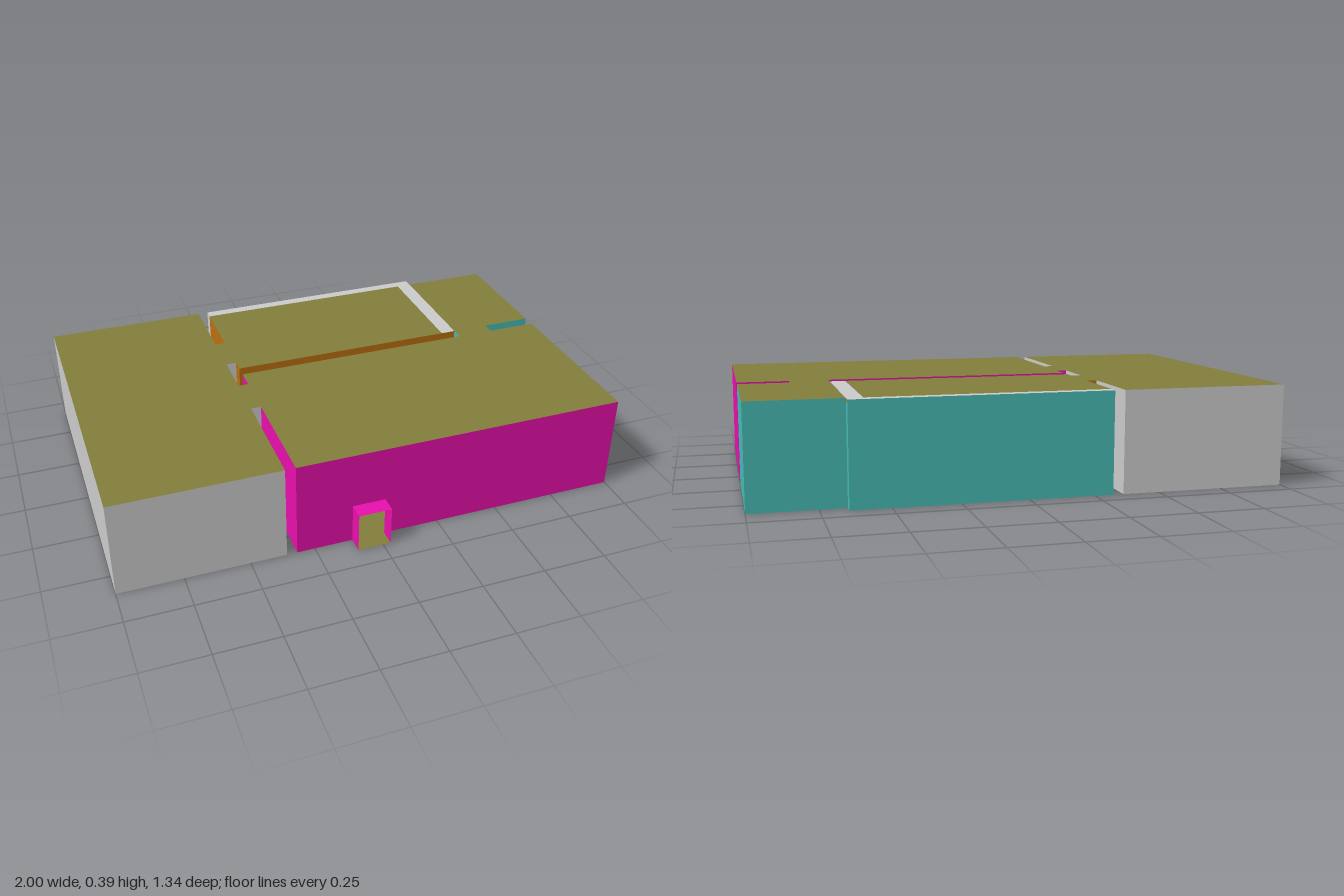
import * as THREE from 'three';

const H = 0.387, DOOR = 0.16;
const GREY = 0xcccccc, PINK = 0xe810ac, TEAL = 0x46bab4, OLIVE = 0x827e3c;
const ORANGE = 0xb9700f, GREEN = 0x24bf70, NAVY = 0x0c588c;

export function createModel() {
  const model = new THREE.Group();
  const materials = {};
  const mat = (color) => (materials[color] ??= new THREE.MeshStandardMaterial({ color, side: THREE.DoubleSide }));

  function add(parent, name, geometry, color) {
    const mesh = new THREE.Mesh(geometry, mat(color));
    mesh.name = name;
    parent.add(mesh);
    return mesh;
  }

  // Thin upright panel between two plan points [x, z]
  function wall(parent, name, a, b, color, y0 = 0, y1 = H) {
    const dx = b[0] - a[0], dz = b[1] - a[1];
    const mesh = add(parent, name, new THREE.PlaneGeometry(Math.hypot(dx, dz), y1 - y0), color);
    mesh.position.set((a[0] + b[0]) / 2, (y0 + y1) / 2, (a[1] + b[1]) / 2);
    mesh.rotation.y = Math.atan2(-dz, dx);
  }

  // Flat panel from a plan outline of [x, z] points
  function slab(parent, name, points, y, color) {
    const shape = new THREE.Shape(points.map((p) => new THREE.Vector2(p[0], p[1])));
    const geometry = new THREE.ShapeGeometry(shape).rotateX(Math.PI / 2);
    add(parent, name, geometry, color).position.y = y;
  }
  const rect = (x0, x1, z0, z1) => [[x0, z0], [x1, z0], [x1, z1], [x0, z1]];

  // Outline of the connected rooms; each entry gives the colour of the wall to the next corner
  const outline = [
    [-1, -0.67, GREY], [-0.36, -0.67, GREY], [-0.36, -0.37, ORANGE], [-0.32, -0.37, ORANGE],
    [-0.32, -0.63, ORANGE], [0.59, -0.63, ORANGE], [0.59, -0.14, ORANGE], [-0.32, -0.14, ORANGE],
    [-0.32, -0.19, GREY], [-0.36, -0.19, GREY], [-0.36, -0.01, PINK], [-0.32, -0.01, PINK],
    [-0.32, -0.09, PINK], [0.65, -0.09, TEAL], [0.65, -0.63, TEAL], [1, -0.63, TEAL],
    [1, -0.14, TEAL], [0.8, -0.14, GREY], [0.8, -0.09, PINK], [1, -0.09, PINK],
    [1, 0.6, null], [-0.32, 0.6, PINK], [-0.32, 0.17, GREY], [-0.36, 0.17, GREY],
    [-0.36, 0.6, GREY], [-1, 0.6, GREY],
  ];
  const walls = new THREE.Group();
  walls.name = 'roomWalls';
  outline.forEach((p, i) => {
    if (p[2] !== null) wall(walls, 'roomWall', p, outline[(i + 1) % outline.length], p[2]);
  });

  // Front wall around the doorway
  const DX0 = -0.1, DX1 = 0.03, DZ = 0.665;
  wall(walls, 'frontWall', [DX1, 0.6], [1, 0.6], PINK);
  wall(walls, 'frontWall', [-0.32, 0.6], [DX0, 0.6], PINK);
  wall(walls, 'frontWallAboveDoor', [DX0, 0.6], [DX1, 0.6], PINK, DOOR, H);
  model.add(walls);

  // Roof and floors
  slab(model, 'roof', outline, H, OLIVE);
  const floors = new THREE.Group();
  floors.name = 'floors';
  slab(floors, 'sideRoomFloor', rect(-1, -0.36, -0.67, 0.6), 0, GREEN);
  slab(floors, 'backPassageFloor', rect(-0.36, -0.32, -0.37, -0.19), 0, GREEN);
  slab(floors, 'frontPassageFloor', rect(-0.36, -0.32, -0.01, 0.17), 0, GREEN);
  slab(floors, 'backRoomFloor', rect(-0.32, 0.59, -0.63, -0.14), 0, NAVY);
  slab(floors, 'cornerRoomFloor', rect(0.65, 1, -0.63, -0.14), 0, NAVY);
  slab(floors, 'cornerPassageFloor', rect(0.65, 0.8, -0.14, -0.09), 0, OLIVE);
  slab(floors, 'frontRoomFloor', rect(-0.32, 1, -0.09, 0.6), 0, OLIVE);
  model.add(floors);

  // Thick L-shaped wall around the back room
  const thick = new THREE.Group();
  thick.name = 'thickWall';
  const ell = [[-0.32, -0.67], [0.65, -0.67], [0.65, -0.14], [0.59, -0.14], [0.59, -0.63], [-0.32, -0.63]];
  slab(thick, 'thickWallTop', ell, H, GREY);
  slab(thick, 'thickWallBase', ell, 0, GREY);
  wall(thick, 'thickWallBack', ell[0], ell[1], TEAL);
  wall(thick, 'thickWallCorner', ell[1], [0.65, -0.63], TEAL, 0, 0.376);
  wall(thick, 'thickWallCornerTrim', ell[1], [0.65, -0.63], ORANGE, 0.376, H);
  wall(thick, 'thickWallFrontEnd', ell[2], ell[3], ORANGE);
  wall(thick, 'thickWallSideEnd', ell[5], ell[0], GREY);
  model.add(thick);

  // Open porch in front of the doorway
  const porch = new THREE.Group();
  porch.name = 'porch';
  for (const x of [DX0, DX1]) wall(porch, 'porchSide', [x, 0.6], [x, DZ], PINK, 0, DOOR);
  slab(porch, 'porchTop', rect(DX0, DX1, 0.6, DZ), DOOR, PINK);
  slab(porch, 'porchFloor', rect(DX0, DX1, 0.6, DZ), 0, OLIVE);
  model.add(porch);

  return model;
}
